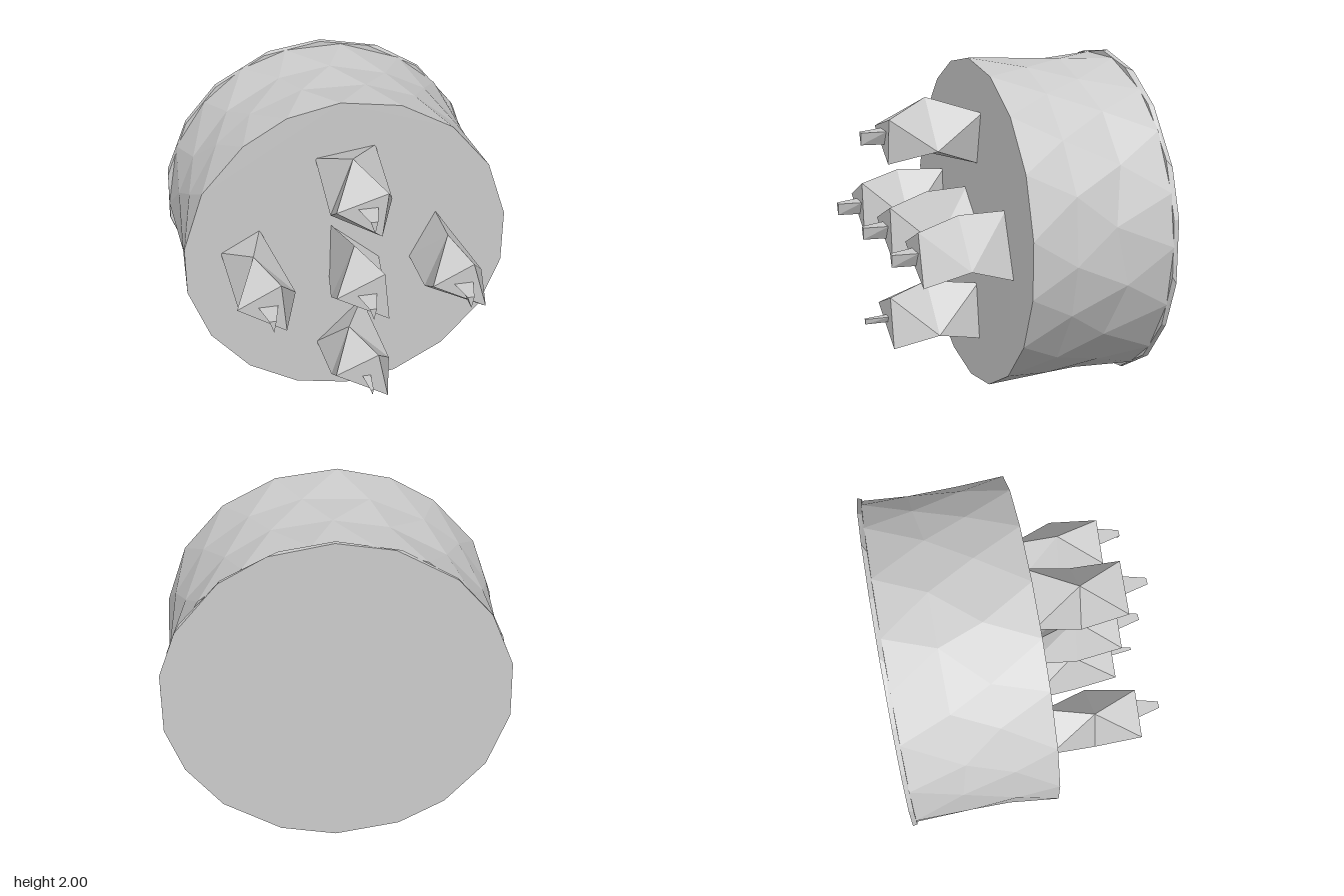
import * as THREE from 'three';

const material = new THREE.MeshStandardMaterial({ color: 0xcccccc, flatShading: true });

// Joins rings of [x, y, z] points, listed front to back and clockwise from the front, and caps both ends.
function loft(name, rings) {
  const n = rings[0].length, pos = [];
  const tri = (a, b, c) => pos.push(...a, ...b, ...c);
  for (let k = 0; k < rings.length - 1; k++) {
    const A = rings[k], B = rings[k + 1];
    for (let i = 0; i < n; i++) {
      const j = (i + 1) % n;
      tri(A[i], A[j], B[i]);
      tri(B[i], A[j], B[j]);
    }
  }
  const front = rings[0], back = rings[rings.length - 1];
  for (let i = 1; i < n - 1; i++) {
    tri(front[0], front[i + 1], front[i]);
    tri(back[0], back[i], back[i + 1]);
  }
  const geometry = new THREE.BufferGeometry();
  geometry.setAttribute('position', new THREE.Float32BufferAttribute(pos, 3));
  geometry.computeVertexNormals();
  const mesh = new THREE.Mesh(geometry, material);
  mesh.name = name;
  return mesh;
}

const atDepth = (points, z) => points.map(([x, y]) => [x, y, z]);

let seed = 7;
function jitter(amount) {
  seed = (seed * 16807) % 2147483647;
  return (seed / 2147483647 - 0.5) * 2 * amount;
}

// Uneven ring of the drum, turned by a number of half steps
function drumRing(z, radius, halfSteps, wobbleZ, wobbleR) {
  const sides = 18;
  return Array.from({ length: sides }, (_, i) => {
    const angle = Math.PI / 2 - ((i + halfSteps / 2 + jitter(0.12)) / sides) * Math.PI * 2;
    const r = radius + jitter(wobbleR);
    return [r * Math.cos(angle), 1 + r * Math.sin(angle), z + jitter(wobbleZ)];
  });
}

// Faceted studs: triangular front, middle and root sections, and the tip on the front face
const studs = [
  { name: 'topStud', tip: [0, 1.57, 1],
    front: [[-0.18, 1.6], [0.115, 1.69], [0.08, 1.42]],
    middle: [[-0.03, 1.78], [0.2, 1.5], [-0.16, 1.43]],
    root: [[0.165, 1.7], [0.1, 1.385], [-0.19, 1.65]] },
  { name: 'centerStud', tip: [0, 1, 1],
    front: [[-0.18, 1.035], [0.1, 1.165], [0.13, 0.855]],
    middle: [[-0.02, 1.21], [0.16, 0.925], [-0.16, 0.87]],
    root: [[-0.105, 1.195], [0.195, 0.935], [-0.115, 0.835]] },
  { name: 'rightStud', tip: [-0.57, 1, 1],
    front: [[-0.75, 1.04], [-0.495, 1.17], [-0.47, 0.86]],
    middle: [[-0.61, 1.21], [-0.37, 0.935], [-0.71, 0.86]],
    root: [[-0.53, 1.21], [-0.51, 0.8], [-0.765, 1.08]] },
  { name: 'leftStud', tip: [0.57, 1, 1],
    front: [[0.385, 1.04], [0.625, 1.16], [0.71, 0.86]],
    middle: [[0.54, 1.21], [0.76, 0.94], [0.41, 0.87]],
    root: [[0.54, 1.21], [0.69, 0.835], [0.385, 0.91]] },
  { name: 'bottomStud', tip: [0, 0.445, 0.45],
    front: [[-0.185, 0.49], [0.07, 0.6], [0.13, 0.295]],
    middle: [[-0.05, 0.64], [0.2, 0.37], [-0.16, 0.3]],
    root: [[0.09, 0.635], [0.14, 0.295], [-0.195, 0.35]] },
];
const tipBase = [[-0.06, 0.04], [0.055, 0.04], [0.01, -0.045]];
const tipEnd = [[-0.02, 0.035], [0.02, 0.035], [0.005, -0.04]];

export function createModel() {
  const model = new THREE.Group();
  model.name = 'studdedDrum';

  // Drum with a slightly pinched waist
  model.add(loft('drumBody', [
    drumRing(0.1, 0.99, 0, 0, 0.005),
    drumRing(-0.18, 0.972, 1, 0.04, 0.006),
    drumRing(-0.45, 0.962, 2, 0.04, 0.006),
    drumRing(-0.755, 0.985, 3, 0, 0.005),
  ]));

  // Thin rim behind the drum
  model.add(loft('backRim', [
    drumRing(-0.752, 0.995, 0, 0, 0.003),
    drumRing(-0.78, 1, 0, 0, 0.001),
  ]));

  for (const { name, tip, front, middle, root } of studs) {
    const stud = new THREE.Group();
    stud.name = name;
    stud.add(loft('crystal', [atDepth(front, 0.64), atDepth(middle, 0.375), atDepth(root, 0.09)]));
    const [x, y, size] = tip;
    const place = points => points.map(([px, py]) => [x + px * size, y + py * size]);
    stud.add(loft('tip', [atDepth(place(tipEnd), 0.78), atDepth(place(tipBase), 0.635)]));
    model.add(stud);
  }
  return model;
}
